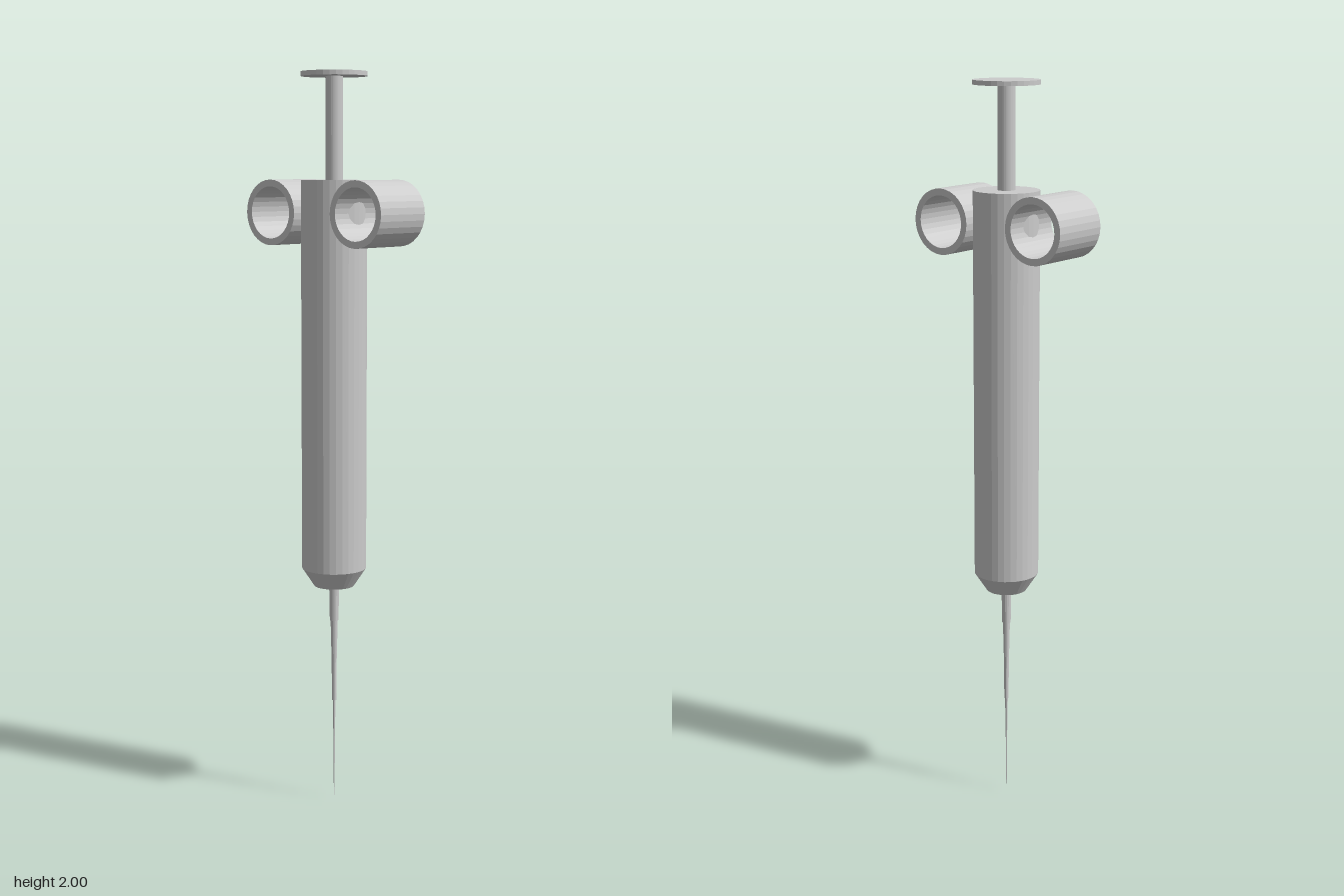
import * as THREE from 'three';

const SIDES = 32;
const material = new THREE.MeshStandardMaterial({ color: 0xcccccc, flatShading: true });

// Solid of revolution from [radius, y] pairs listed from bottom to top
function turned(name, profile, sides = SIDES) {
  const points = profile.map(([r, y]) => new THREE.Vector2(r, y));
  const mesh = new THREE.Mesh(new THREE.LatheGeometry(points, sides), material);
  mesh.name = name;
  return mesh;
}

export function createModel() {
  const model = new THREE.Group();
  model.name = 'syringe';

  // Barrel with a tapered nose
  model.add(turned('barrel', [[0, 0.62], [0.055, 0.62], [0.088, 0.67], [0.088, 1.72], [0, 1.72]]));

  // Plunger rod and thumb plate
  model.add(turned('plungerRod', [[0, 1.7], [0.023, 1.7], [0.023, 1.992], [0, 1.992]]));
  model.add(turned('thumbPlate', [[0, 1.988], [0.088, 1.988], [0.088, 2], [0, 2]]));

  // Stepped needle, thinning towards the tip
  model.add(turned('needleHub', [[0, 0.52], [0.012, 0.52], [0.014, 0.63], [0, 0.63]], 16));
  model.add(turned('needleShank', [[0, 0.29], [0.006, 0.29], [0.007, 0.4], [0.010, 0.525], [0, 0.525]], 16));
  model.add(turned('needle', [[0, 0], [0.0015, 0.06], [0.002, 0.17], [0.004, 0.295], [0, 0.295]], 12));

  // Finger rings: short tubes lying along x, in front of and behind the barrel
  const outer = 0.087, inner = 0.069, half = 0.088;
  for (const [name, side] of [['frontFingerRing', 1], ['backFingerRing', -1]]) {
    const ring = turned(name, [
      [inner, half], [inner, -half], [outer, -half], [outer, half], [inner, half],
    ]);
    ring.rotation.z = Math.PI / 2;
    ring.position.set(0, 1.634, side * 0.15);
    model.add(ring);
  }

  return model;
}
